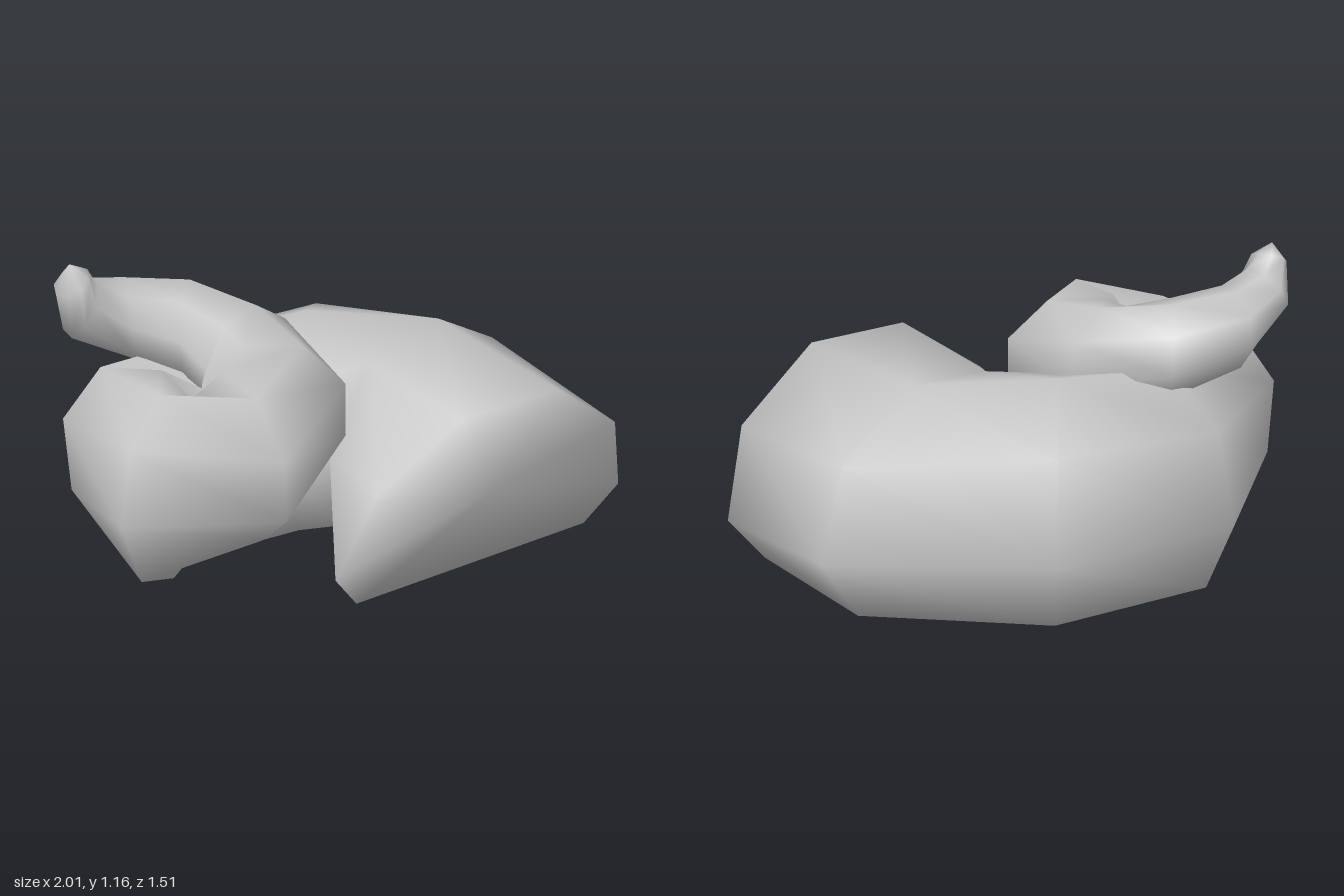
import * as THREE from 'three';

// Octagonal cross-sections along the coil, from the wide end to the tip:
// outer x,z | inner x,z | bottom y, top y | egg (0 regular .. 1 wide base) | roll | lean x,z of the top
const SECTIONS = [
  [1.02, -0.20, 0.03, 0.56, -0.07, 0.75, 1, 0, 0.10, 0.12],
  [0.55, -0.66, -0.09, 0.16, -0.08, 0.79, 0.4, 0.2],
  [-0.24, -0.76, -0.19, 0.22, -0.08, 0.81, 0, 0.39],
  [-0.83, -0.37, -0.34, 0.26, -0.11, 0.77, 0, 0.39],
  [-1.00, 0.28, -0.47, 0.27, 0.08, 0.81, 0, 0],
  [-0.66, 0.75, -0.49, 0.25, 0.10, 0.84, 0, 0.39],
  [-0.13, 0.67, -0.49, 0.27, 0.33, 0.88, 0, 0],
  [0.00, 0.20, -0.49, 0.27, 0.41, 0.91, 0, 0],
  [-0.24, -0.10, -0.49, 0.21, 0.53, 0.96, 0, 0.2],
  [-0.60, -0.20, -0.59, 0.17, 0.66, 1.01, 0, 0.2],
  [-0.87, -0.09, -0.74, 0.20, 0.75, 1.04, 0, 0.2],
  [-0.99, 0.11, -0.86, 0.27, 0.91, 1.07, 0, 0, 0.08, -0.09],
  [-0.99, 0.20, -0.88, 0.24, 1.07, 1.13, 0, 0, 0.04, -0.11],
];
const SIDES = 8;

// Octagon in (u, v), running outer, top, inner, bottom, turned by the roll
function profile(egg, roll) {
  const mix = THREE.MathUtils.lerp;
  const high = mix(1, 0.82, egg), top = mix(0.41, 0.31, egg), base = mix(0.41, 0.82, egg);
  const points = [[1, -0.41], [high, 0.41], [top, 1], [-top, 1], [-high, 0.41], [-1, -0.41], [-base, -1], [base, -1]];
  const c = Math.cos(roll), s = Math.sin(roll), reach = c + 0.41 * s;
  return points.map(([u, v]) => [(u * c - v * s) / reach, (u * s + v * c) / reach]);
}

function coilGeometry() {
  const pos = [], index = [];
  for (const [ox, oz, ix, iz, y0, y1, egg, roll, lx = 0, lz = 0] of SECTIONS) {
    for (const [u, v] of profile(egg, roll)) {
      const x = (ox + ix) / 2 + u * (ox - ix) / 2 + v * lx / 2;
      const z = (oz + iz) / 2 + u * (oz - iz) / 2 + v * lz / 2;
      const y = (y0 + y1) / 2 + v * (y1 - y0) / 2;
      pos.push(x, Math.max(0, y), z); // the underside rests flat on the ground
    }
  }
  // Walls between neighbouring sections
  for (let i = 0; i < SECTIONS.length - 1; i++) {
    for (let j = 0; j < SIDES; j++) {
      const k = (j + 1) % SIDES;
      const a = i * SIDES + j, b = i * SIDES + k, c = a + SIDES, d = b + SIDES;
      index.push(a, c, b, b, c, d);
    }
  }
  // Wide end cap and pointed tip
  const start = pos.length / 3, tip = start + 1, last = (SECTIONS.length - 1) * SIDES;
  pos.push(0.53, 0.36, 0.18, -0.94, 1.16, 0.21);
  for (let j = 0; j < SIDES; j++) {
    const k = (j + 1) % SIDES;
    index.push(start, j, k, tip, last + k, last + j);
  }
  const g = new THREE.BufferGeometry();
  g.setAttribute('position', new THREE.Float32BufferAttribute(pos, 3));
  g.setIndex(index);
  g.computeVertexNormals();
  return g;
}

export function createModel() {
  const group = new THREE.Group();
  group.name = 'spiralCoil';
  const grey = new THREE.MeshStandardMaterial({ color: 0xc4c4c4 });
  grey.name = 'grey';
  const coil = new THREE.Mesh(coilGeometry(), grey);
  coil.name = 'taperedCoil';
  group.add(coil);
  return group;
}
